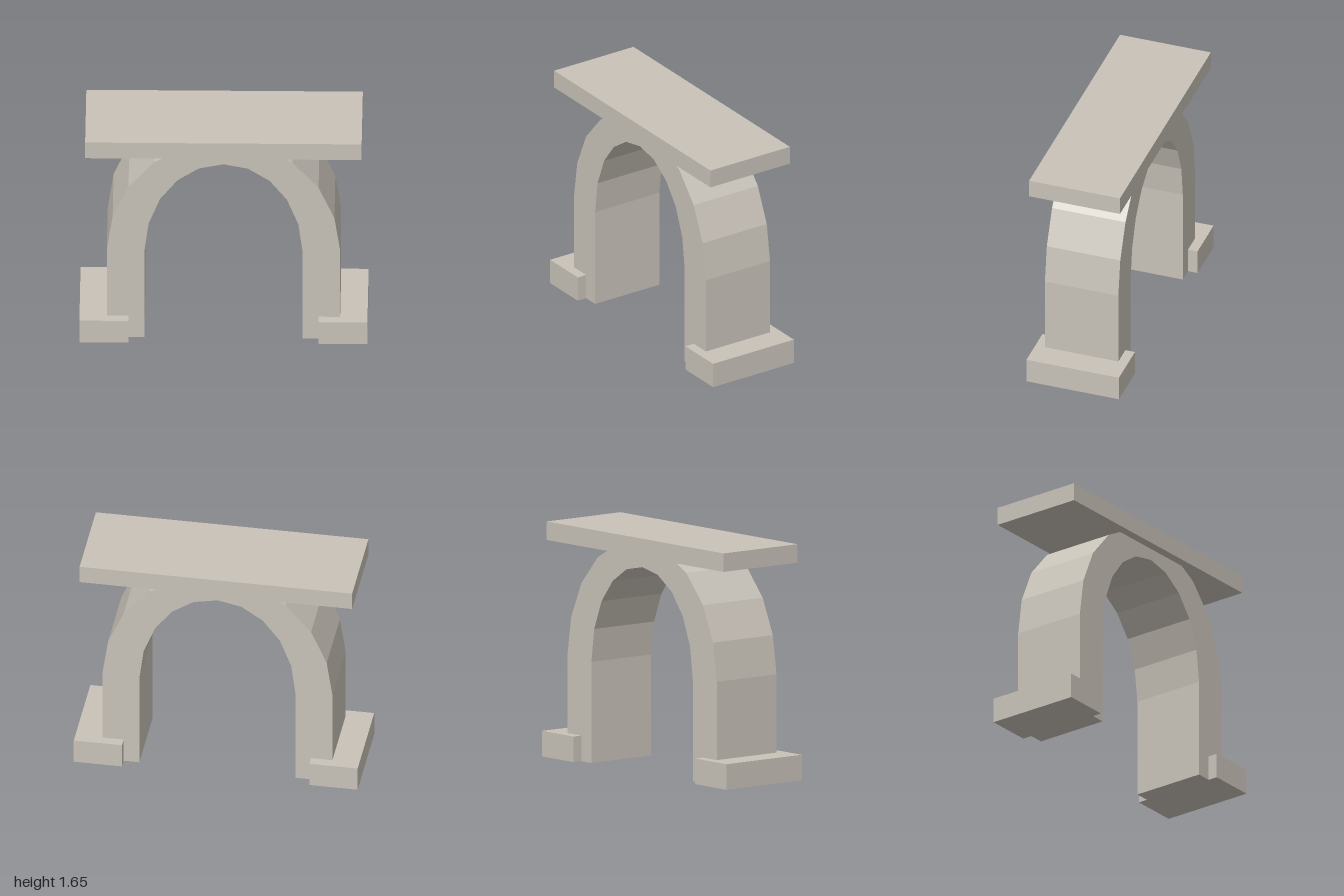
import * as THREE from 'three';

export function createModel() {
  const group = new THREE.Group();
  group.name = 'archway';
  const stone = new THREE.MeshStandardMaterial({ color: 0xc8c2b8 });
  stone.name = 'pale stone';

  const add = (name, geometry, x = 0, y = 0, z = 0) => {
    const mesh = new THREE.Mesh(geometry, stone);
    mesh.name = name;
    mesh.position.set(x, y, z);
    group.add(mesh);
  };

  // Arch: half profiles from foot to crown, mirrored across x = 0
  const outer = [[0.81, 0], [0.81, 0.73], [0.77, 1.0], [0.66, 1.25], [0.48, 1.455], [0.25, 1.58], [0, 1.62]];
  const inner = [[0.55, 0], [0.55, 0.71], [0.52, 0.945], [0.44, 1.15], [0.32, 1.305], [0.17, 1.405], [0, 1.44]];
  const fullProfile = (half) => [
    ...half,
    ...half.slice(0, -1).reverse().map(([x, y]) => [-x, y]),
  ].map(([x, y]) => new THREE.Vector2(x, y));
  const outline = new THREE.Shape([...fullProfile(outer), ...fullProfile(inner).reverse()]);
  const depth = 0.54;
  add('arch', new THREE.ExtrudeGeometry(outline, { depth, bevelEnabled: false }), 0, 0, -depth / 2);

  // Flat slab resting on the crown
  add('topSlab', new THREE.BoxGeometry(1.92, 0.13, 0.668), 0, 1.59, 0);

  // Plinth block at each foot
  for (const [side, name] of [[1, 'leftPlinth'], [-1, 'rightPlinth']]) {
    add(name, new THREE.BoxGeometry(0.34, 0.18, 0.68), side * 0.83, 0.09, 0);
  }
  return group;
}
